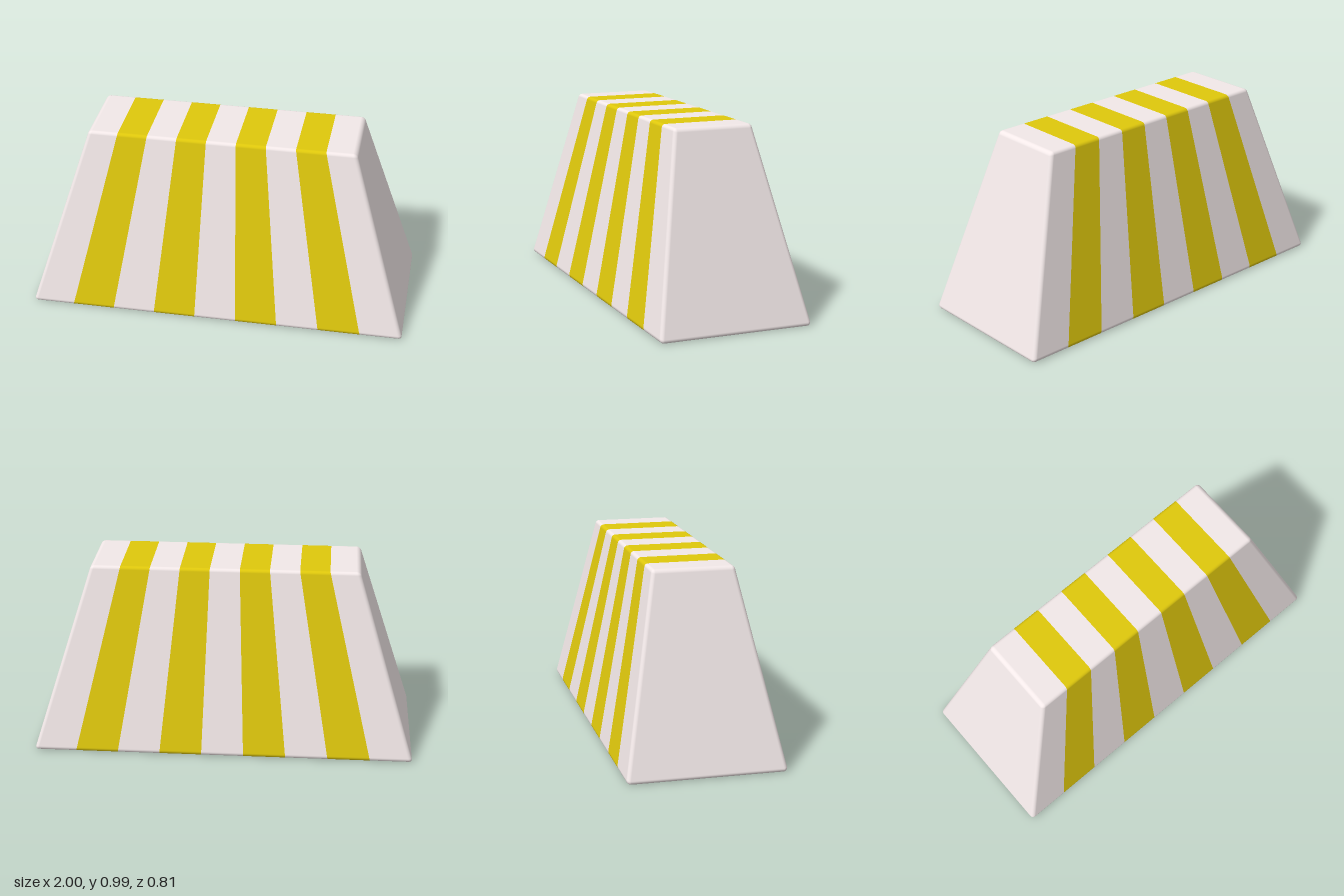
import * as THREE from 'three';

const H = 0.985, R = 0.02, SEG = 5;
const BANDS = 9;
const halfWidth = (y) => 1.006 - 0.306 * y / H;
const slopeZ = 0.2 / H;
const tilt = Math.atan(slopeZ);
const endNormal = new THREE.Vector3(1, 0.306 / H, 0).normalize();

// Rounded trapezoid profile: inset core corners plus outward directions
function makeProfile() {
  const q = Math.PI / 2, yTop = H - R, yLow = R;
  const coreZ = (y) => 0.41 - slopeZ * y - R / Math.cos(tilt);
  const corners = [
    [coreZ(yTop), yTop, tilt, q],
    [-coreZ(yTop), yTop, q, 2 * q - tilt],
    [-coreZ(yLow), yLow, 2 * q - tilt, 3 * q],
    [coreZ(yLow), yLow, 3 * q, 4 * q + tilt],
  ];
  const points = [];
  for (const [z, y, a0, a1] of corners) {
    for (let i = 0; i <= SEG; i++) {
      const a = a0 + (a1 - a0) * i / SEG;
      points.push({ z, y, ny: Math.sin(a), nz: Math.cos(a) });
    }
  }
  points.push(points[0]);
  return points;
}

// Skin a run of cross-sections ordered along +x
function loft(profile, rings) {
  const pos = [], nor = [], index = [], n = profile.length;
  const normal = new THREE.Vector3();
  for (const { u, t = 0, side = 0, closed = false } of rings) {
    for (const p of profile) {
      const reach = R * Math.cos(t);
      const y = closed ? H / 2 : p.y + reach * p.ny;
      const z = closed ? 0 : p.z + reach * p.nz;
      const x = side ? side * (halfWidth(y) - R * (1 - Math.sin(t))) : u * halfWidth(y);
      pos.push(x, y, z);
      normal.set(0, p.ny, p.nz).multiplyScalar(Math.cos(t));
      normal.x += side * endNormal.x * Math.sin(t);
      normal.y += endNormal.y * Math.sin(t);
      normal.normalize();
      nor.push(normal.x, normal.y, normal.z);
    }
  }
  for (let r = 0; r < rings.length - 1; r++) {
    for (let k = 0; k < n - 1; k++) {
      const a = r * n + k, b = a + n;
      index.push(a, b, b + 1, a, b + 1, a + 1);
    }
  }
  const g = new THREE.BufferGeometry();
  g.setAttribute('position', new THREE.Float32BufferAttribute(pos, 3));
  g.setAttribute('normal', new THREE.Float32BufferAttribute(nor, 3));
  g.setIndex(index);
  return g;
}

// Rounded end: bevel rings followed by a point that closes the face
function endRings(side) {
  const rings = [];
  for (let i = 0; i <= SEG; i++) rings.push({ side, t: i / SEG * Math.PI / 2 });
  rings.push({ side, t: Math.PI / 2, closed: true });
  return rings;
}

export function createModel() {
  const group = new THREE.Group();
  group.name = 'stripedBarrier';
  const white = new THREE.MeshStandardMaterial({ color: 0xf2e8e8 });
  const yellow = new THREE.MeshStandardMaterial({ color: 0xdfc80c });
  const profile = makeProfile();

  // Alternating bands that narrow together towards the top
  for (let i = 0; i < BANDS; i++) {
    const left = { u: -1 + 2 * i / BANDS }, right = { u: -1 + 2 * (i + 1) / BANDS };
    const rings = [
      ...(i === 0 ? endRings(-1).reverse() : [left]),
      ...(i === BANDS - 1 ? endRings(1) : [right]),
    ];
    const mesh = new THREE.Mesh(loft(profile, rings), i % 2 ? yellow : white);
    mesh.name = (i % 2 ? 'yellowStripe' : 'whiteStripe') + (Math.floor(i / 2) + 1);
    group.add(mesh);
  }
  return group;
}
